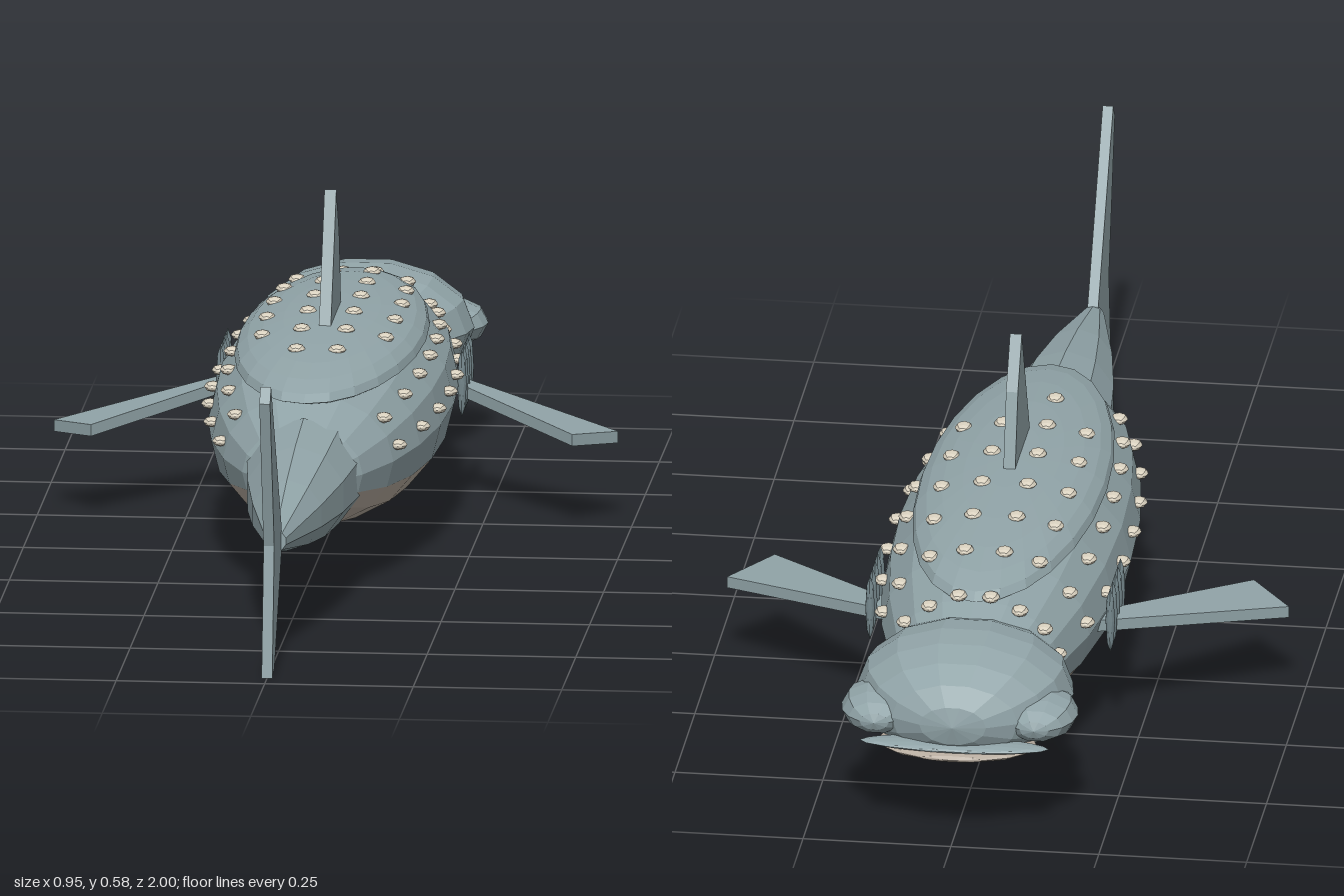
import * as THREE from 'three';

const mat = (name, color) => {
  const m = new THREE.MeshStandardMaterial({ color, flatShading: true });
  m.name = name;
  return m;
};

export function createModel() {
  const root = new THREE.Group();
  const skin = mat('blueGreySkin', 0x91a4a8);
  const gillGrey = mat('gillGrey', 0x74868b);
  const bellyTan = mat('bellyTan', 0xb8ada0);
  const cream = mat('creamSpots', 0xdad2c0);

  const add = (name, geo, material, parent = root) => {
    const mesh = new THREE.Mesh(geo, material);
    mesh.name = name;
    parent.add(mesh);
    return mesh;
  };
  // Ellipsoid whose poles lie along z; phi range selects a lengthwise strip
  const ellipsoid = (c, r, seg = 12, rings = 8, start = 0, len = Math.PI * 2) =>
    new THREE.SphereGeometry(1, seg, rings, start, len)
      .rotateX(Math.PI / 2).scale(...r).translate(...c);
  const shapeOf = (pts) => new THREE.Shape(pts.map(([a, b]) => new THREE.Vector2(a, b)));
  // Upright plate drawn in (z, y)
  const uprightFin = (pts, t) =>
    new THREE.ExtrudeGeometry(shapeOf(pts), { depth: t, bevelEnabled: false })
      .rotateY(-Math.PI / 2).translate(t / 2, 0, 0);

  // Body: grey upper strip and tan belly strip of one ellipsoid
  const C = [0, 0.21, -0.24], R = [0.203, 0.16, 0.65];
  add('body', ellipsoid(C, R, 10, 12, Math.PI * 7 / 8, Math.PI * 5 / 4), skin);
  add('belly', ellipsoid(C, R, 6, 12, Math.PI / 8, Math.PI * 3 / 4), bellyTan);

  // Back plate: shallow dome with a thin rim
  const P = { y: 0.322, z: -0.21, rx: 0.158, ry: 0.053, rz: 0.5 };
  const dome = [[0, -0.012], [0.9, -0.012], [1, 0], [0.97, 0.013]];
  for (let i = 2; i <= 6; i++) {
    const a = (i / 6) * Math.PI / 2;
    dome.push([Math.max(0, Math.cos(a)), P.ry * Math.sin(a)]);
  }
  add('backPlate', new THREE.LatheGeometry(dome.map(([x, y]) => new THREE.Vector2(x, y)), 24)
    .scale(P.rx, 1, P.rz).translate(0, P.y, P.z), skin);

  // Tail stalk: slightly convex cone along z
  const stalk = [[0, 0.29], [0.1, 0.3], [0.085, 0.45], [0.061, 0.6], [0.018, 0.8], [0, 0.8]];
  add('tailStalk', new THREE.LatheGeometry(stalk.map(([r, z]) => new THREE.Vector2(r, z)), 10)
    .rotateX(Math.PI / 2).translate(0, 0.2, 0), skin);

  // Upright fins
  add('tailFin', uprightFin([[0.79, 0.22], [0.98, 0.505], [1, 0.48], [0.925, 0.22],
    [0.96, 0], [0.92, 0.01], [0.79, 0.185]], 0.018), skin);
  add('dorsalFin', uprightFin([[-0.07, 0.35], [-0.18, 0.585], [-0.23, 0.5], [-0.27, 0.35]], 0.02), skin);

  // Head, cheeks and mouth
  add('head', ellipsoid([0, 0.21, -0.815], [0.183, 0.11, 0.172], 14, 10), skin);
  add('mouth', ellipsoid([0, 0.157, -0.92], [0.135, 0.014, 0.08], 16, 8), bellyTan);
  add('lip', ellipsoid([0, 0.168, -0.957], [0.16, 0.008, 0.033], 12, 8), skin);

  for (const s of [1, -1]) {
    const side = s > 0 ? 'left' : 'right';
    add(side + 'Cheek', ellipsoid([s * 0.135, 0.203, -0.885], [0.065, 0.04, 0.082], 10, 8), skin);

    // Pectoral fin, sloping down to the tip
    const fin = new THREE.ExtrudeGeometry(
      shapeOf([[0.16, -0.5], [0.475, -0.28], [0.405, -0.2], [0.16, -0.46]].map(([x, z]) => [s * x, z])),
      { depth: 0.02, bevelEnabled: false }).rotateX(Math.PI / 2);
    const p = fin.attributes.position;
    for (let i = 0; i < p.count; i++) {
      p.setY(i, p.getY(i) + 0.2 - (Math.abs(p.getX(i)) - 0.2) * 0.155);
    }
    fin.computeVertexNormals();
    add(side + 'PectoralFin', fin, skin);

    // Gill slits
    const gills = new THREE.Group();
    gills.name = side + 'Gills';
    root.add(gills);
    for (let i = 0; i < 5; i++) {
      add('gillSlit', ellipsoid([s * 0.203, 0.213, -0.375 - i * 0.0325], [0.008, 0.058, 0.008], 8, 6),
        gillGrey, gills);
    }

    // Rows of raised spots following the body and back plate
    const spots = new THREE.Group();
    spots.name = side + 'Spots';
    root.add(spots);
    for (let row = 0; row < 8; row++) {
      const z = 0.19 - row * 0.127;
      const k = Math.sqrt(1 - ((z - C[2]) / R[2]) ** 2);
      [11, 35, 58, 79].forEach((deg, j) => {
        if ((row === 0 && j > 1) || (row === 1 && j === 2)) return;
        const a = deg * Math.PI / 180;
        const x = R[0] * k * Math.cos(a);
        let y = C[1] + R[1] * k * Math.sin(a);
        const d = 1 - (x / P.rx) ** 2 - ((z - P.z) / P.rz) ** 2;
        if (j > 1 && d > 0) y = Math.max(y, P.y + P.ry * Math.sqrt(d));
        add('spot', ellipsoid([s * x, y, z], [0.015, 0.009, 0.017], 8, 6), cream, spots);
      });
    }
  }
  return root;
}
